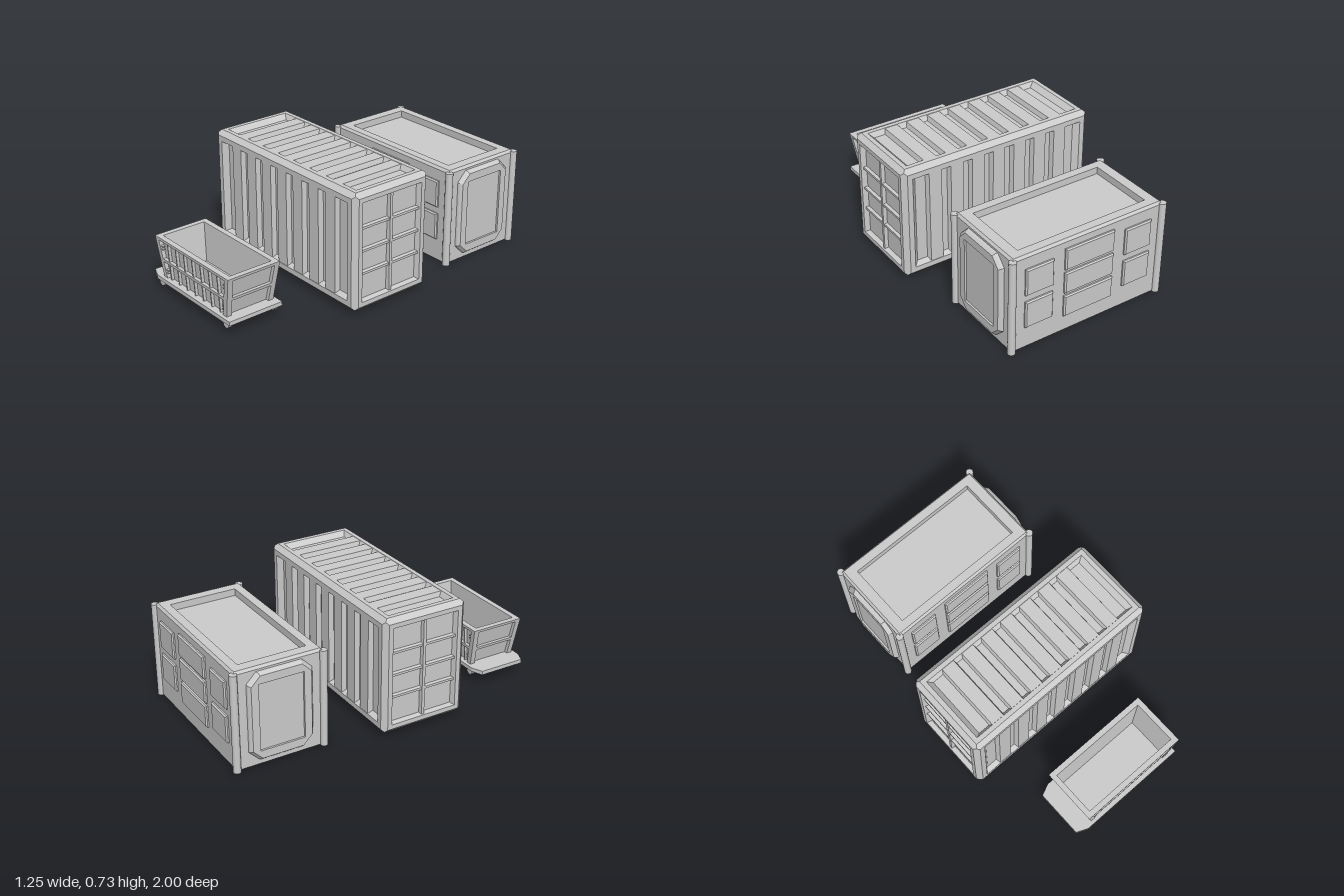
import * as THREE from 'three';

const grey = new THREE.MeshStandardMaterial({ color: 0xcccccc, flatShading: true });
const smooth = new THREE.MeshStandardMaterial({ color: 0xcccccc });

// Skin a row of equal-length loops, wound counter-clockwise seen from the last loop
function loft(name, loops, capStart = true, capEnd = true) {
  const pos = [];
  const tri = (a, b, c) => pos.push(...a, ...b, ...c);
  const n = loops[0].length;
  for (let k = 0; k < loops.length - 1; k++) {
    const a = loops[k], b = loops[k + 1];
    for (let i = 0; i < n; i++) {
      const j = (i + 1) % n;
      tri(a[i], a[j], b[j]);
      tri(a[i], b[j], b[i]);
    }
  }
  const s = loops[0], e = loops[loops.length - 1];
  for (let i = 1; i < n - 1; i++) {
    if (capStart) tri(s[0], s[i + 1], s[i]);
    if (capEnd) tri(e[0], e[i], e[i + 1]);
  }
  const g = new THREE.BufferGeometry();
  g.setAttribute('position', new THREE.Float32BufferAttribute(pos, 3));
  g.computeVertexNormals();
  const m = new THREE.Mesh(g, grey);
  m.name = name;
  return m;
}

// Cross-sections: upright rectangle, upright octagon, level rectangle
const rect = (w, h, z, x = 0, y = 0) =>
  [[x - w, y - h, z], [x + w, y - h, z], [x + w, y + h, z], [x - w, y + h, z]];
const octagon = (w, h, c, z) => [
  [c - w, -h, z], [w - c, -h, z], [w, c - h, z], [w, h - c, z],
  [w - c, h, z], [c - w, h, z], [-w, h - c, z], [-w, c - h, z]];
const level = (y, x0, x1, z0, z1) => [[x0, y, z1], [x1, y, z1], [x1, y, z0], [x0, y, z0]];

function group(name, ...children) {
  const g = new THREE.Group();
  g.name = name;
  if (children.length) g.add(...children);
  return g;
}

// Middle container: chamfered box, every face recessed inside a frame
function ribbedContainer() {
  const X = 0.625, Y = 0.35, Z = 0.265, c = 0.028, depth = 0.03;
  const box = group('ribbedContainer');
  const face = (name, w, h, d, slope, border, rx, ry) => {
    const iw = w - border, ih = h - border;
    const f = group(name, loft('recessedFrame', [
      rect(w - c / 2, h - c / 2, d - c / 2),
      rect(w - c, h - c, d),
      rect(iw, ih, d),
      rect(iw - slope, ih - slope * 0.6, d - depth),
    ], false));
    f.rotation.set(rx, ry, 0);
    box.add(f);
    return f;
  };
  const addRibs = (f, h, d) => {
    for (let i = -3; i <= 3; i++) {
      f.add(loft('wallRib', [
        rect(0.05, h, d - depth - 0.002, i * 0.14),
        rect(0.04, h, d - 0.002, i * 0.14),
      ]));
    }
  };
  addRibs(face('frontWall', X, Y, Z, 0.03, 0.06, 0, 0), Y - 0.061, Z);
  addRibs(face('backWall', X, Y, Z, 0.03, 0.06, 0, Math.PI), Y - 0.061, Z);
  addRibs(face('roof', X, Z, Y, 0.03, 0.055, -Math.PI / 2, 0), Z - 0.056, Y);
  face('underside', X, Z, Y, 0.03, 0.055, Math.PI / 2, 0);

  // End doors with a grid of bars
  for (const s of [1, -1]) {
    const f = face('endDoor', Z, Y, X, 0.012, 0.055, 0, s * Math.PI / 2);
    f.add(loft('uprightBar', [rect(0.013, 0.292, X - depth - 0.002), rect(0.009, 0.292, X - 0.008)]));
    for (const y of [-0.13, 0.005, 0.14]) {
      f.add(loft('crossBar', [
        rect(0.207, 0.012, X - depth - 0.002, 0, y), rect(0.207, 0.007, X - 0.012, 0, y)]));
    }
  }
  box.position.set(0, 0.375, 0.11);
  return box;
}

// Rear container: plain body, corner posts, raised panels, open tray on top
function panelledContainer() {
  const X = 0.488, Z = 0.265;
  const box = group('panelledContainer');
  box.add(loft('body', [
    level(0.006, -X, X, -Z, Z),
    level(0.575, -X, X, -Z, Z),
    level(0.59, 0.012 - X, X - 0.012, 0.012 - Z, Z - 0.012),
    level(0.59, -0.415, 0.415, -0.202, 0.202),
    level(0.548, -0.415, 0.415, -0.202, 0.202),
  ]));
  const postGeo = new THREE.CylinderGeometry(0.022, 0.022, 0.582, 16);
  for (const sx of [1, -1]) for (const sz of [1, -1]) {
    const post = new THREE.Mesh(postGeo, smooth);
    post.name = 'cornerPost';
    post.position.set(sx * X, 0.291, sz * Z);
    box.add(post);
  }

  // Long sides: three wide panels between two pairs of square ones
  for (const s of [0, 1]) {
    const side = group('longSide');
    const panel = (x, y, w, h) => side.add(loft('raisedPanel', [
      rect(w, h, Z - 0.005, x, y), rect(w, h, Z + 0.008, x, y),
      rect(w - 0.007, h - 0.007, Z + 0.016, x, y)]));
    for (const y of [0.17, 0.32, 0.47]) panel(0, y, 0.16, 0.066);
    for (const x of [-0.322, 0.322]) for (const y of [0.22, 0.425]) panel(x, y, 0.088, 0.082);
    side.rotation.y = s * Math.PI;
    box.add(side);
  }

  // Ends: octagonal raised surround with a sunken panel
  for (const s of [1, -1]) {
    const end = loft('endPanel', [
      octagon(0.195, 0.265, 0.06, X - 0.005),
      octagon(0.19, 0.26, 0.06, X + 0.012),
      octagon(0.178, 0.248, 0.055, X + 0.027),
      octagon(0.134, 0.2, 0.001, X + 0.027),
      octagon(0.134, 0.2, 0.001, X + 0.015),
    ]);
    end.rotation.y = s * Math.PI / 2;
    end.position.y = 0.3;
    box.add(end);
  }
  box.position.z = -0.715;
  return box;
}

// Front skip: flared tub with an outer frame on a wheeled plate
function skip() {
  const cart = group('wheeledSkip');
  const y0 = 0.085, y1 = 0.333;
  const t = (y) => (y - y0) / (y1 - y0);
  const hx = (y) => 0.298 + 0.048 * t(y);
  const hz = (y) => 0.153 + 0.016 * t(y);
  const ring = (y, inset) =>
    level(y, inset - hx(y), hx(y) - inset, inset - hz(y), hz(y) - inset);

  cart.add(loft('tub', [
    ring(y0, 0.022), ring(0.316, 0.022), ring(0.316, 0), ring(y1, 0),
    ring(y1, 0.033), level(0.105, -0.278, 0.278, -0.118, 0.118)]));
  cart.add(loft('middleRail', [ring(0.188, 0.02), ring(0.188, 0), ring(0.206, 0), ring(0.206, 0.02)], false, false));

  // Corner posts and ribs lean with the walls
  const lean = (name, fn) => cart.add(loft(name, [y0, 0.32].map((y) => level(y, ...fn(y)))));
  for (const sx of [1, -1]) for (const sz of [1, -1]) {
    lean('cornerPost', (y) => {
      const x = sx * (hx(y) - 0.016), z = sz * (hz(y) - 0.016);
      return [x - 0.016, x + 0.016, z - 0.016, z + 0.016];
    });
    for (const y of [0.13, 0.27]) for (const dy of [-0.009, 0.009]) {
      const hook = new THREE.Mesh(new THREE.BoxGeometry(0.026, 0.006, 0.016), grey);
      hook.name = 'hook';
      hook.position.set(sx * (hx(y) - 0.036), y + dy, sz * (hz(y) - 0.012));
      cart.add(hook);
    }
  }
  for (const s of [1, -1]) for (let i = -3; i <= 3; i++) {
    const x = i * 0.078;
    lean('sideRib', (y) => {
      const z = s * (hz(y) - 0.015);
      return [x - 0.004, x + 0.004, z - 0.01, z + 0.01];
    });
  }

  // Base plate with a tapered end
  const plate = (y) => [
    [-0.408, y, 0.145], [-0.34, y, 0.174], [0.352, y, 0.174],
    [0.352, y, -0.174], [-0.34, y, -0.174], [-0.408, y, -0.145]];
  cart.add(loft('basePlate', [plate(0.066), plate(0.09)]));

  const wheelGeo = new THREE.CylinderGeometry(0.025, 0.025, 0.024, 20).rotateX(Math.PI / 2);
  for (const x of [-0.308, 0.304]) for (const z of [-0.152, 0.152]) {
    const wheel = new THREE.Mesh(wheelGeo, smooth);
    wheel.name = 'wheel';
    wheel.position.set(x, 0.056, z);
    cart.add(wheel);
  }
  cart.position.z = 0.826;
  return cart;
}

export function createModel() {
  return group('cargoContainers', ribbedContainer(), panelledContainer(), skip());
}
